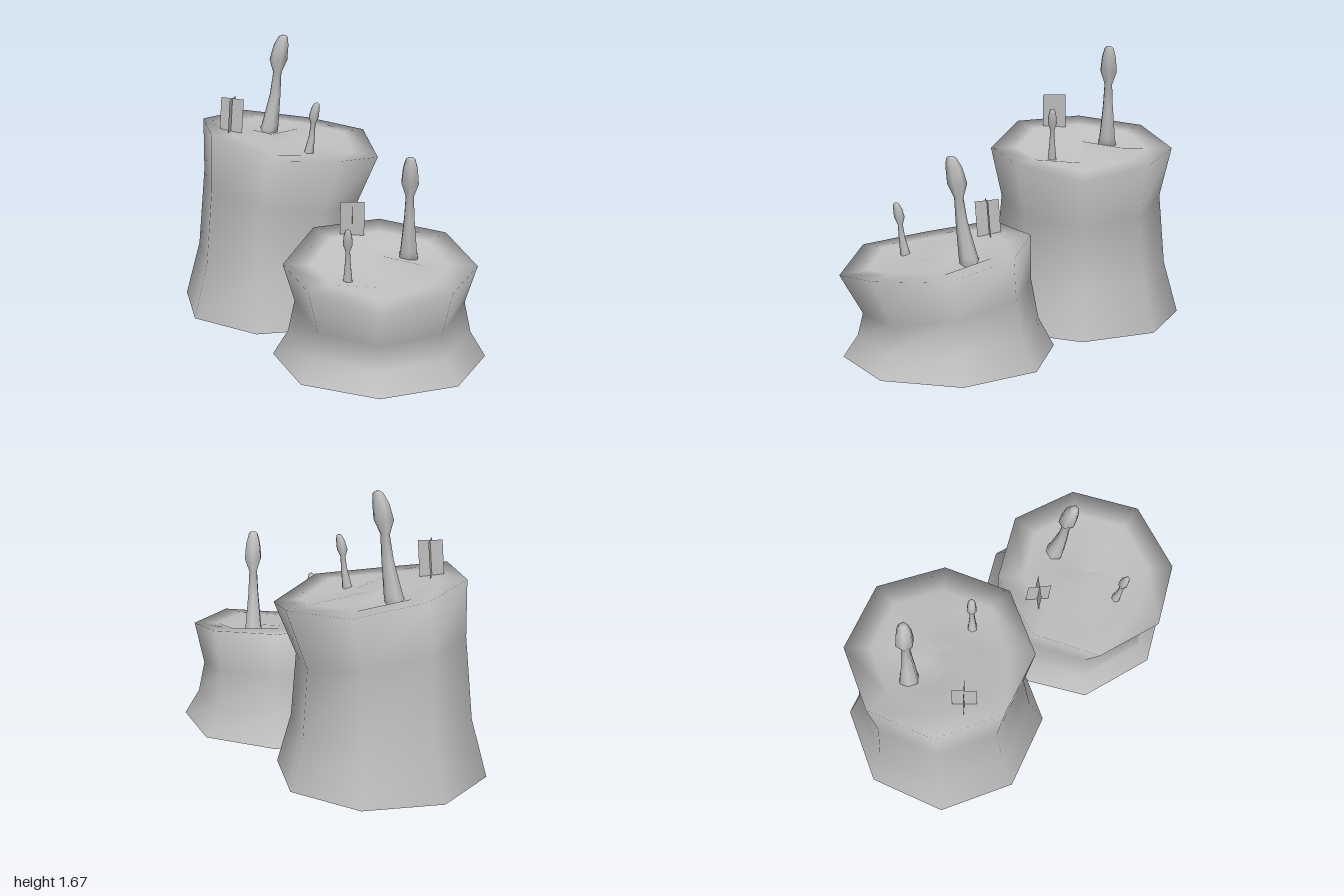
import * as THREE from 'three';

const stone = new THREE.MeshStandardMaterial({ color: 0xc0c0c0, side: THREE.DoubleSide });
stone.name = 'pale grey';

// Skin a stack of rings (bottom to top); at(row, angle, k) gives [x, y, z]
function loft(rows, sides, at) {
  const pos = [], index = [];
  for (let j = 0; j < rows; j++)
    for (let k = 0; k < sides; k++) pos.push(...at(j, (k / sides) * Math.PI * 2, k));
  for (let j = 0; j < rows - 1; j++)
    for (let k = 0; k < sides; k++) {
      const a = j * sides + k, b = j * sides + ((k + 1) % sides);
      const c = a + sides, d = b + sides;
      index.push(a, c, b, b, c, d);
    }
  const g = new THREE.BufferGeometry();
  g.setAttribute('position', new THREE.Float32BufferAttribute(pos, 3));
  g.setIndex(index);
  g.computeVertexNormals();
  return g;
}

function mesh(name, geometry) {
  const m = new THREE.Mesh(geometry, stone);
  m.name = name;
  return m;
}

// Octagonal trunk, open below, with a slanted top dented around the sprouts
const RIM = [0.97, 1.04, 1.06, 1.155, 1.16, 1.13, 1.06, 1.04];
function trunkGeometry(drop, y1, y2) {
  const walls = [
    { y: 0, r: 0.614, dx: 0, tilt: 0 },
    { y: y1, r: 0.525, dx: 0.004, tilt: 0.025 },
    { y: y2, r: 0.487, dx: 0.01, tilt: 0.08 },
  ];
  const cap = [1, 0.72, 0.45, 0.2, 0];
  return loft(walls.length + cap.length, 8, (j, a, k) => {
    const c = Math.cos(a), s = Math.sin(a);
    if (j < walls.length) {
      const w = walls[j];
      return [w.dx + w.r * c, w.y - w.tilt * c, w.r * s];
    }
    const f = cap[j - walls.length];
    let y = THREE.MathUtils.lerp(1.06, RIM[k], f) - drop;
    if (f === 0.45) y -= k === 5 ? 0.05 : k === 1 ? 0.03 : 0;
    return [0.075 + 0.55 * f * c, y, 0.55 * f * s];
  });
}

// Leaning six-sided stalk with a bud on top: [x, y, radius]
const STALK = [
  [0, 0, 0], [0, 0, 0.07], [0.03, 0.09, 0.054], [0.065, 0.29, 0.034], [0.08, 0.43, 0.026],
  [0.088, 0.51, 0.056], [0.105, 0.6, 0.047], [0.12, 0.655, 0.03], [0.121, 0.665, 0.018], [0.121, 0.667, 0],
];
const stalkGeometry = loft(STALK.length, 6, (j, a) => {
  const [x, y, r] = STALK[j];
  return [x + r * Math.cos(a), y, r * Math.sin(a)];
});

function stump(name, drop, y1, y2) {
  const g = new THREE.Group();
  g.name = name;
  g.add(mesh('trunk', trunkGeometry(drop, y1, y2)));

  const large = mesh('largeSprout', stalkGeometry);
  large.position.set(-0.12, 1.005 - drop, -0.165);
  const small = mesh('smallSprout', stalkGeometry);
  small.position.set(0.215, 0.97 - drop, 0.18);
  small.scale.setScalar(0.55);
  g.add(large, small);

  // Two crossed leaf cards
  const tuft = new THREE.Group();
  tuft.name = 'tuft';
  for (const turn of [0, Math.PI / 2]) {
    const card = mesh('leafCard', new THREE.PlaneGeometry(0.14, 0.21));
    card.rotation.y = turn;
    tuft.add(card);
  }
  tuft.position.set(-0.25, 1.23 - drop, 0.16);
  tuft.rotation.z = -0.07;
  g.add(tuft);
  return g;
}

export function createModel() {
  const model = new THREE.Group();
  model.name = 'stumps';
  const tall = stump('tallStump', 0, 0.32, 0.75);
  tall.position.set(-0.385, 0, -0.39);
  const short = stump('shortStump', 0.485, 0.15, 0.335);
  short.position.set(0.385, 0, 0.385);
  short.rotation.y = -1.398;
  model.add(tall, short);
  return model;
}
